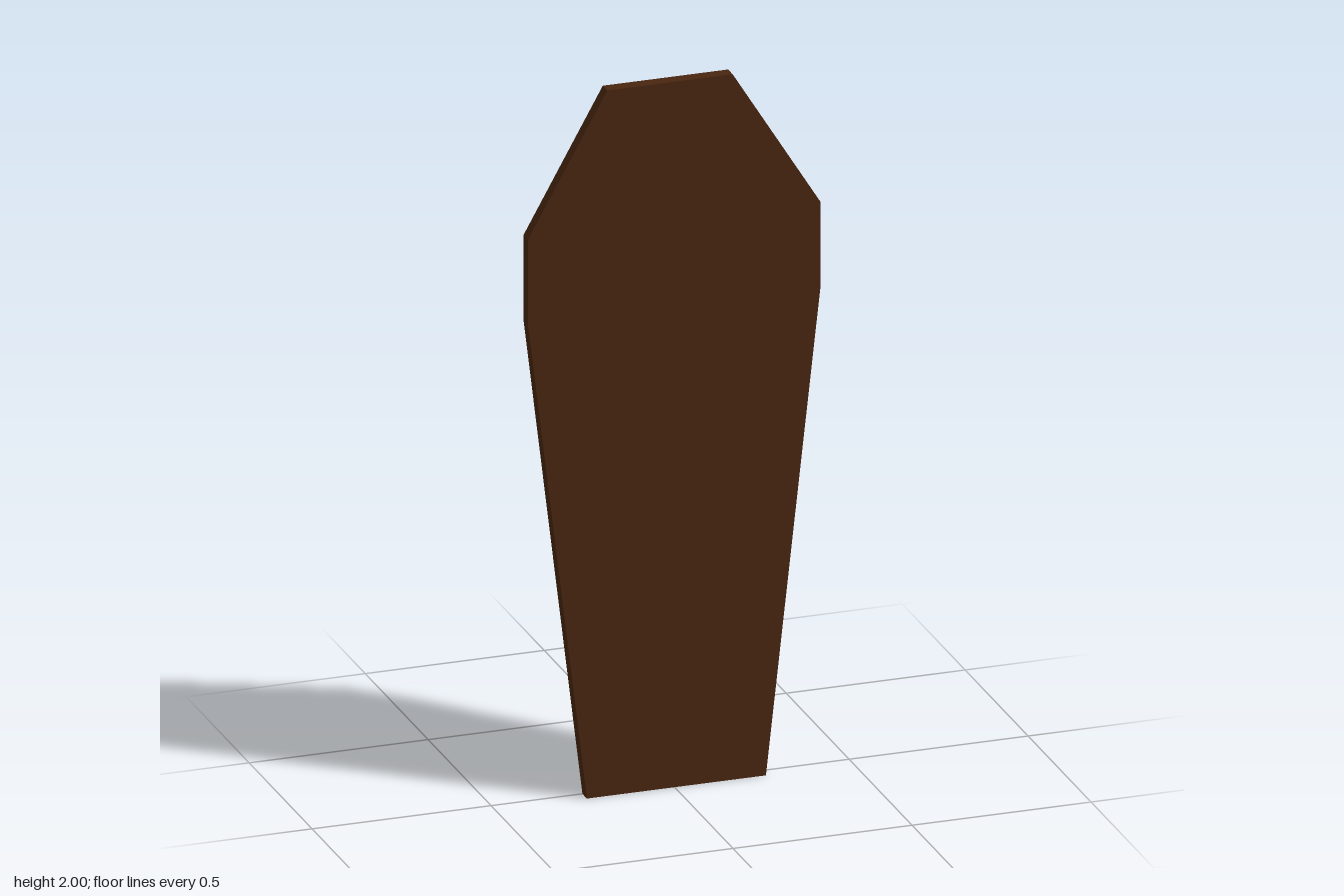
import * as THREE from 'three';

// Lid outline, counter-clockwise seen from the front
const outline = [
  [-0.245, 0], [0.255, 0], [0.408, 1.37], [0.408, 1.605],
  [0.162, 2], [-0.188, 2], [-0.41, 1.605], [-0.41, 1.37],
].map(([x, y]) => new THREE.Vector2(x, y));

// Move every edge of a convex outline inward by the same distance
function inset(points, distance) {
  const n = points.length;
  const inward = (a, b) => {
    const d = b.clone().sub(a).normalize();
    return new THREE.Vector2(-d.y, d.x);
  };
  return points.map((p, i) => {
    const n1 = inward(points[(i + n - 1) % n], p);
    const n2 = inward(p, points[(i + 1) % n]);
    const miter = n1.clone().add(n2);
    return p.clone().addScaledVector(miter, distance / (1 + n1.dot(n2)));
  });
}

// Join rings, ordered front to back, and cap both ends
function loft(rings) {
  const n = rings[0].points.length;
  const positions = rings.flatMap(({ points, z }) => points.flatMap(p => [p.x, p.y, z]));
  const index = [];
  for (let r = 0; r < rings.length - 1; r++) {
    for (let i = 0; i < n; i++) {
      const j = (i + 1) % n;
      const a = r * n + i, b = a + n, c = (r + 1) * n + j, d = r * n + j;
      index.push(a, b, c, a, c, d);
    }
  }
  const last = (rings.length - 1) * n;
  for (let i = 1; i < n - 1; i++) {
    index.push(0, i, i + 1, last, last + i + 1, last + i);
  }
  const indexed = new THREE.BufferGeometry();
  indexed.setAttribute('position', new THREE.Float32BufferAttribute(positions, 3));
  indexed.setIndex(index);
  const geometry = indexed.toNonIndexed();
  geometry.computeVertexNormals();
  return geometry;
}

export function createModel() {
  const darkWood = new THREE.MeshStandardMaterial({ color: 0x482610 });
  darkWood.name = 'darkWood';

  // Flat front, straight rim, and a bevel running into the raised back panel
  const lid = new THREE.Mesh(loft([
    { points: outline, z: 0.036 },
    { points: outline, z: 0 },
    { points: inset(outline, 0.067), z: -0.036 },
  ]), darkWood);
  lid.name = 'coffinLid';

  const group = new THREE.Group();
  group.name = 'coffinLidModel';
  group.add(lid);
  return group;
}
